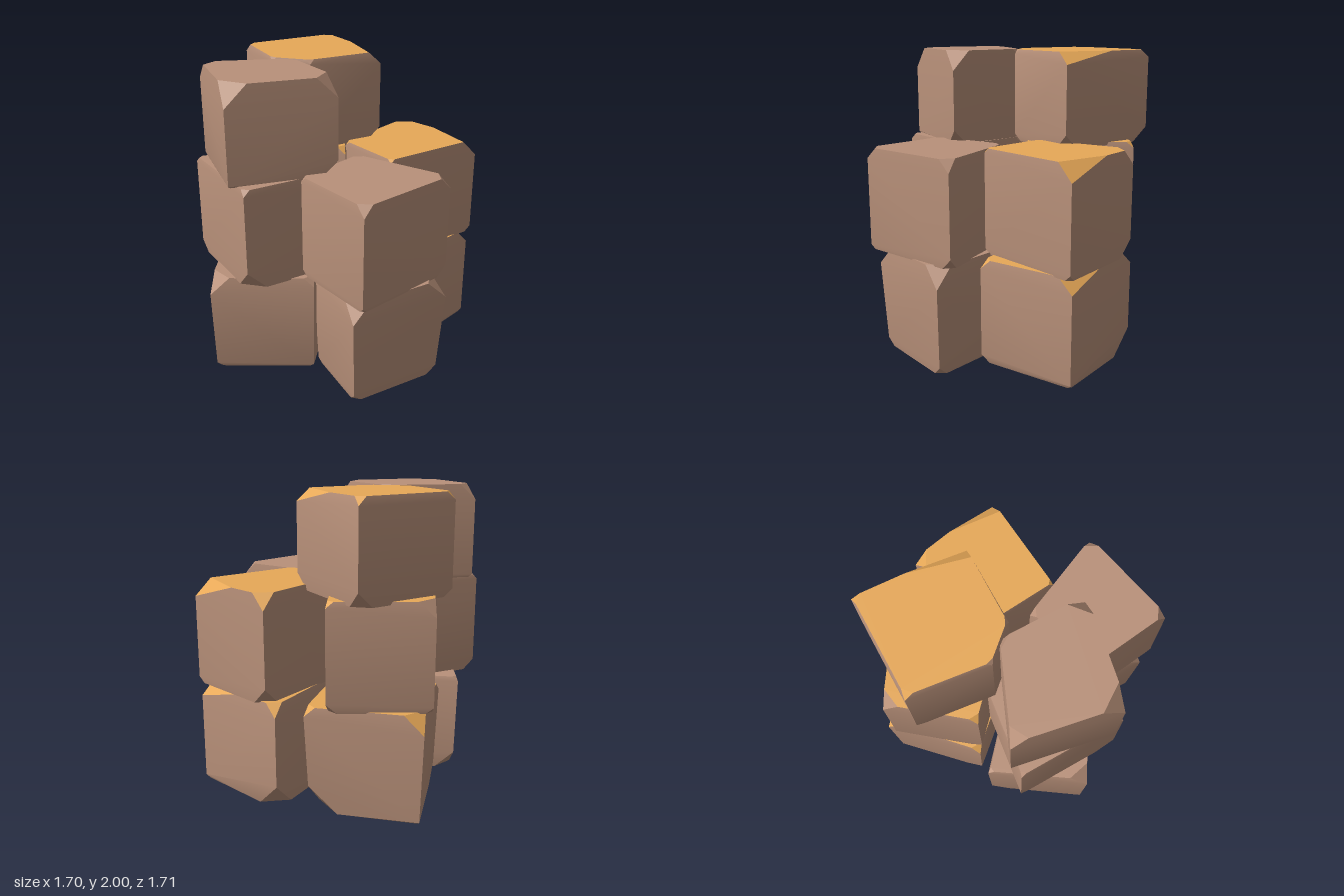
import * as THREE from 'three';
import { ConvexGeometry } from 'three/addons/geometries/ConvexGeometry.js';
import { toCreasedNormals } from 'three/addons/utils/BufferGeometryUtils.js';

const brownStone = new THREE.MeshStandardMaterial({ color: 0xb9917a });
brownStone.name = 'brownStone';
const ochreTop = new THREE.MeshStandardMaterial({ color: 0xe8a958 });
ochreTop.name = 'ochreTop';

// A block with chipped corners and slightly drawn-in top and bottom faces.
// Each corner is [x, z, top chip, bottom chip, length of top chip along the previous edge].
function block(name, y0, y1, corners, { ochre = false, bottom = 1, inset = 0.97 } = {}) {
  const n = corners.length;
  const centre = new THREE.Vector2();
  corners.forEach(([x, z]) => centre.add(new THREE.Vector2(x / n, z / n)));
  const points = [];
  for (const isTop of [true, false]) {
    const scale = isTop ? 1 : bottom;
    const ring = corners.map(([x, z]) => new THREE.Vector2(x, z).sub(centre).multiplyScalar(scale));
    const add = (p, y) => points.push(new THREE.Vector3(centre.x + p.x, y, centre.y + p.y));
    ring.forEach((p, i) => {
      const [, , t, b, long = t] = corners[i];
      const chip = isTop ? t : b;
      add(p, isTop ? y1 - t : y0 + b);
      // the chip's other two points lie along the neighbouring edges
      const steps = [[(i + 1) % n, chip], [(i + n - 1) % n, isTop ? long : b]];
      for (const [j, length] of steps) {
        const dir = ring[j].clone().sub(p);
        const step = Math.min(length, dir.length() * 0.7);
        add(p.clone().addScaledVector(dir.normalize(), step).multiplyScalar(inset), isTop ? y1 : y0);
      }
    });
  }
  const geometry = toCreasedNormals(new ConvexGeometry(points), 0.42);
  // ochre on the faces that look up
  geometry.clearGroups();
  const pos = geometry.attributes.position;
  const tri = new THREE.Triangle();
  const normal = new THREE.Vector3();
  for (let i = 0; i < pos.count; i += 3) {
    tri.setFromAttributeAndIndices(pos, i, i + 1, i + 2);
    tri.getNormal(normal);
    geometry.addGroup(i, 3, ochre && normal.y > 0.62 ? 1 : 0);
  }
  const mesh = new THREE.Mesh(geometry, [brownStone, ochreTop]);
  mesh.name = name;
  return mesh;
}

export function createModel() {
  const model = new THREE.Group();
  model.name = 'stackedRocks';

  // bottom layer
  model.add(
    block('bottomFrontRightRock', 0.03, 0.71, [
      [-0.58, 0.8, 0.12, 0.03], [0.05, 0.56, 0.06, 0.02],
      [-0.07, 0.0, 0.05, 0.03], [-0.8, 0.14, 0.03, 0.12]], { bottom: 0.97 }),
    block('bottomFrontLeftRock', 0.01, 0.73, [
      [0.42, 0.83, 0.13, 0.05], [0.85, 0.28, 0.13, 0.06],
      [0.25, -0.04, 0.05, 0.03], [0.0, 0.46, 0.04, 0.03]], { bottom: 0.92 }),
    block('bottomBackLeftRock', 0.02, 0.72, [
      [0.14, -0.82, 0.08, 0.16], [0.8, -0.54, 0.1, 0.02, 0.4],
      [0.55, 0.09, 0.06, 0.05], [0.0, -0.15, 0.03, 0.04]], { ochre: true }),
    block('bottomBackRightRock', 0, 0.71, [
      [-0.76, -0.67, 0.12, 0.01], [-0.02, -0.75, 0.06, 0.18],
      [0.02, -0.03, 0.05, 0.03], [-0.69, 0.03, 0.06, 0.12]], { ochre: true, bottom: 0.95 }),
  );

  // middle layer
  model.add(
    block('middleFrontRightRock', 0.7, 1.38, [
      [-0.27, 0.85, 0.04, 0.13], [0.12, 0.33, 0.1, 0.05],
      [-0.4, -0.04, 0.05, 0.05], [-0.85, 0.41, 0.03, 0.07]], { inset: 0.985 }),
    block('middleFrontLeftRock', 0.72, 1.4, [
      [0.49, 0.86, 0.07, 0.03], [0.82, 0.2, 0.08, 0.07],
      [0.15, 0.04, 0.05, 0.04], [-0.03, 0.55, 0.03, 0.04]], { inset: 0.985 }),
    block('middleBackLeftRock', 0.71, 1.41, [
      [0.2, -0.82, 0.1, 0.11], [0.82, -0.53, 0.11, 0.04, 0.38],
      [0.4, 0.1, 0.03, 0.04], [-0.01, -0.16, 0.03, 0.05]], { ochre: true, inset: 0.985 }),
    block('middleBackRightRock', 0.7, 1.39, [
      [-0.79, -0.57, 0.1, 0.04], [-0.18, -0.79, 0.04, 0.06],
      [0.02, -0.08, 0.05, 0.04], [-0.65, 0.03, 0.05, 0.08]], { ochre: true }),
  );

  // top layer
  model.add(
    block('topFrontRightRock', 1.375, 2, [
      [-0.38, 0.83, 0.14, 0.01], [0.15, 0.38, 0.13, 0.1],
      [-0.3, 0.03, 0.06, 0.05], [-0.83, 0.33, 0.1, 0.02]], { inset: 0.98 }),
    block('topBackRightRock', 1.37, 2, [
      [-0.4, -0.85, 0.05, 0.1], [0.16, -0.38, 0.08, 0.1, 0.4],
      [-0.18, 0.04, 0.03, 0.05], [-0.45, 0.06, 0.03, 0.04],
      [-0.82, -0.3, 0.05, 0.05]], { ochre: true }),
  );
  return model;
}
